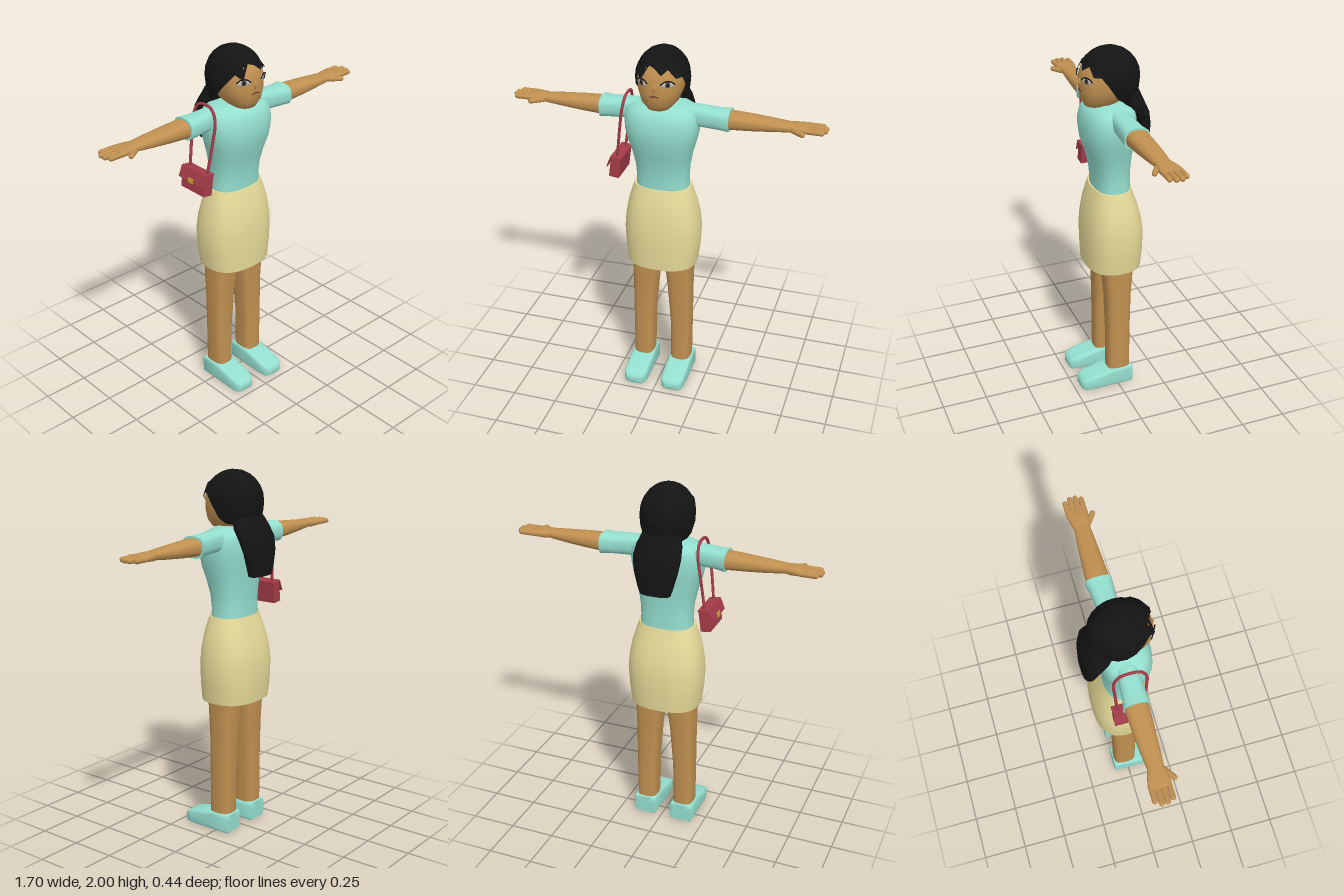
import * as THREE from 'three';
import { toCreasedNormals } from 'three/addons/utils/BufferGeometryUtils.js';

const mat = (color, extra = {}) => new THREE.MeshStandardMaterial({ color, ...extra });
const SKIN = mat(0xc09050), SHIRT = mat(0x94dfcf), SKIRT = mat(0xe6da98, { side: THREE.DoubleSide });
const HAIR = mat(0x141414, { flatShading: true, side: THREE.DoubleSide });
const RED = mat(0xa53c4a), GOLD = mat(0xc8a22c), WHITE = mat(0xe8e8e8), DARK = mat(0x1c1510), IRIS = mat(0x55504a);

function add(parent, name, geometry, material, pos = [0, 0, 0], rot = [0, 0, 0]) {
  const m = new THREE.Mesh(geometry, material);
  m.name = name;
  m.position.set(...pos);
  m.rotation.set(...rot);
  parent.add(m);
  return m;
}

// Loft of superellipse rings; section = [p, uMin, uMax, vMin, vMax], p rising.
// axis y: u = x, v = z;  axis x: u = z, v = y;  axis z: u = y, v = x
function loft(sections, { axis = 'y', n = 2, seg = 28, caps = true, crease = 0.8 } = {}) {
  const pos = [], idx = [];
  const put = (u, p, v) => pos.push(...(axis === 'y' ? [u, p, v] : axis === 'x' ? [p, v, u] : [v, u, p]));
  const pw = (c) => Math.sign(c) * Math.abs(c) ** (2 / n);
  for (const [p, u0, u1, v0, v1] of sections)
    for (let j = 0; j < seg; j++) {
      const a = (j / seg) * Math.PI * 2;
      put((u0 + u1) / 2 + ((u1 - u0) / 2) * pw(Math.cos(a)), p, (v0 + v1) / 2 + ((v1 - v0) / 2) * pw(Math.sin(a)));
    }
  const last = sections.length - 1;
  for (let i = 0; i < last; i++)
    for (let j = 0; j < seg; j++) {
      const a = i * seg + j, c = i * seg + ((j + 1) % seg);
      idx.push(a, a + seg, c, c, a + seg, c + seg);
    }
  if (caps)
    for (const i of [0, last]) {
      const [p, u0, u1, v0, v1] = sections[i], centre = pos.length / 3;
      put((u0 + u1) / 2, p, (v0 + v1) / 2);
      for (let j = 0; j < seg; j++) {
        const a = i * seg + j, b = i * seg + ((j + 1) % seg);
        idx.push(centre, ...(i ? [b, a] : [a, b]));
      }
    }
  const g = new THREE.BufferGeometry();
  g.setAttribute('position', new THREE.Float32BufferAttribute(pos, 3));
  g.setIndex(idx);
  return toCreasedNormals(g, crease);
}
// Section that is symmetric in x
const sym = (y, w, z0, z1) => [y, -w, w, z0, z1];

// Hair cap whose lower edge rises over the face into a jagged fringe
function hairCap() {
  const left = [1.93, 1.9, 1.925, 1.88, 1.88, 1.82, 1.755, 1.73, 1.725, 1.72, 1.72, 1.72, 1.72];
  const right = [1.93, 1.94, 1.865, 1.895, 1.85, 1.8, 1.75, 1.73, 1.725, 1.72, 1.72, 1.72, 1.72];
  const seg = 24, rows = 8, pos = [], idx = [];
  for (let i = 0; i <= rows; i++)
    for (let j = 0; j < seg; j++) {
      const a = (j / seg) * Math.PI * 2, edge = j <= 12 ? left[j] : right[seg - j];
      const y = 2 - (2 - edge) * (i / rows) ** 1.8, h = (y - 1.84) / 0.16;
      let r = h > 0 ? Math.sqrt(Math.max(0, 1 - h * h)) : 1 - 0.25 * h * h;
      if (i === rows && edge > 1.86) r *= 1.07;
      pos.push(0.142 * r * Math.sin(a), y, -0.005 + 0.165 * r * Math.cos(a));
    }
  for (let i = 0; i < rows; i++)
    for (let j = 0; j < seg; j++) {
      const a = i * seg + j, b = i * seg + ((j + 1) % seg);
      idx.push(a, a + seg, b, b, a + seg, b + seg);
    }
  const g = new THREE.BufferGeometry();
  g.setAttribute('position', new THREE.Float32BufferAttribute(pos, 3));
  g.setIndex(idx);
  g.computeVertexNormals();
  return g;
}

function buildHead() {
  const head = new THREE.Group();
  head.name = 'head';
  add(head, 'face', loft([
    sym(1.685, 0.03, 0.02, 0.1), sym(1.698, 0.06, -0.03, 0.128), sym(1.735, 0.095, -0.08, 0.147), sym(1.79, 0.114, -0.12, 0.155),
    sym(1.86, 0.12, -0.13, 0.152), sym(1.92, 0.103, -0.12, 0.13), sym(1.96, 0.06, -0.07, 0.08),
  ], { n: 2.4, crease: 1.2 }), SKIN);
  add(head, 'neck', new THREE.CylinderGeometry(0.052, 0.056, 0.12, 20), SKIN, [0, 1.71, -0.005]);
  add(head, 'hair', hairCap(), HAIR);
  add(head, 'ponytail', loft([
    sym(1.455, 0.085, -0.215, -0.14), sym(1.5, 0.1, -0.217, -0.138), sym(1.58, 0.122, -0.215, -0.13), sym(1.65, 0.132, -0.205, -0.1),
    sym(1.7, 0.125, -0.185, -0.06), sym(1.75, 0.105, -0.165, -0.03), sym(1.8, 0.07, -0.14, -0.03),
  ], { n: 2.5, seg: 14 }), HAIR);
  // Eyes, brow lids, nose and mouth
  for (const s of [-1, 1]) {
    const eye = new THREE.Group();
    eye.name = 'eye';
    eye.position.set(s * 0.066, 1.853, 0.137);
    eye.rotation.y = s * 0.5;
    const ball = new THREE.SphereGeometry(1, 18, 12);
    add(eye, 'eyeWhite', ball, WHITE).scale.set(0.034, 0.018, 0.007);
    add(eye, 'iris', ball, IRIS, [0, 0, 0.004]).scale.set(0.015, 0.016, 0.005);
    add(eye, 'pupil', ball, DARK, [0, 0, 0.007]).scale.set(0.008, 0.009, 0.003);
    const lid = new THREE.QuadraticBezierCurve3(
      new THREE.Vector3(-0.037, -0.001, 0.002), new THREE.Vector3(0, 0.037, 0.007), new THREE.Vector3(0.037, -0.001, 0.002));
    add(eye, 'eyelid', new THREE.TubeGeometry(lid, 12, 0.0035, 6), DARK);
    head.add(eye);
  }
  add(head, 'nose', new THREE.SphereGeometry(1, 14, 10), SKIN, [0, 1.828, 0.153]).scale.set(0.01, 0.02, 0.01);
  const lips = new THREE.QuadraticBezierCurve3(
    new THREE.Vector3(-0.022, 1.781, 0.152), new THREE.Vector3(0, 1.793, 0.156), new THREE.Vector3(0.022, 1.781, 0.152));
  add(head, 'mouth', new THREE.TubeGeometry(lips, 10, 0.003, 6), mat(0x5a2a1c));
  return head;
}

function buildArm() {
  const arm = new THREE.Group();
  arm.name = 'arm';
  add(arm, 'sleeve', loft([
    [0.1, -0.07, 0.05, 1.585, 1.7], [0.2, -0.066, 0.044, 1.587, 1.697], [0.3, -0.075, 0.05, 1.583, 1.69], [0.348, -0.085, 0.053, 1.578, 1.692],
  ], { axis: 'x', n: 2.8 }), SHIRT);
  add(arm, 'forearm', loft([
    [0.33, -0.078, 0.045, 1.588, 1.683], [0.45, -0.073, 0.04, 1.595, 1.677], [0.57, -0.066, 0.033, 1.606, 1.668], [0.67, -0.056, 0.026, 1.617, 1.66],
  ], { axis: 'x', n: 2.5 }), SKIN);
  add(arm, 'palm', loft([
    [0.65, -0.054, 0.024, 1.618, 1.659], [0.69, -0.066, 0.032, 1.616, 1.66], [0.74, -0.077, 0.038, 1.622, 1.657], [0.768, -0.074, 0.035, 1.627, 1.652],
  ], { axis: 'x', n: 3 }), SKIN);
  // Fingers and thumb
  [[-0.064, 0.832], [-0.035, 0.85], [-0.006, 0.85], [0.023, 0.836]].forEach(([z, tip]) => {
    const len = tip - 0.74 - 0.014;
    add(arm, 'finger', new THREE.CapsuleGeometry(0.014, len, 5, 10), SKIN, [0.74 + len / 2, 1.639, z], [0, 0, Math.PI / 2]);
  });
  add(arm, 'thumb', new THREE.CapsuleGeometry(0.014, 0.065, 5, 10), SKIN, [0.704, 1.634, 0.04], [0, -0.6, Math.PI / 2]);
  return arm;
}

function buildLeg() {
  const leg = new THREE.Group();
  leg.name = 'leg';
  add(leg, 'bareLeg', loft([
    [0.08, 0.054, 0.166, -0.08, 0.052], [0.35, 0.05, 0.168, -0.08, 0.052], [0.58, 0.032, 0.169, -0.086, 0.056], [0.76, 0.013, 0.171, -0.1, 0.07], [0.95, 0.008, 0.174, -0.1, 0.075],
  ], { n: 3.2 }), SKIN);
  add(leg, 'shoe', loft([
    [-0.086, 0.004, 0.106, 0.05, 0.172], [-0.08, 0, 0.111, 0.045, 0.177], [0.02, 0, 0.111, 0.044, 0.177], [0.09, 0, 0.096, 0.043, 0.178], [0.17, 0, 0.077, 0.045, 0.176],
    [0.2, 0.002, 0.068, 0.051, 0.17], [0.215, 0.006, 0.056, 0.063, 0.158], [0.22, 0.015, 0.042, 0.078, 0.143],
  ], { axis: 'z', n: 7, seg: 40 }), SHIRT);
  return leg;
}

function buildBag() {
  const bag = new THREE.Group();
  bag.name = 'handbag';
  const body = new THREE.Group();
  body.name = 'bagBody';
  body.position.set(-0.26, 1.312, -0.02);
  body.rotation.z = -0.13;
  add(body, 'pouch', new THREE.BoxGeometry(0.055, 0.115, 0.18), RED);
  // Front flap stands slightly away from the pouch
  add(body, 'flap', new THREE.BoxGeometry(0.006, 0.065, 0.19), RED, [-0.036, 0.03, 0], [0, 0, -0.25]);
  add(body, 'flapTop', new THREE.BoxGeometry(0.06, 0.006, 0.19), RED, [0, 0.06, 0]);
  add(body, 'clasp', new THREE.BoxGeometry(0.01, 0.026, 0.034), GOLD, [-0.044, 0.006, 0]);
  bag.add(body);
  const path = new THREE.CatmullRomCurve3([
    [-0.252, 1.36, 0.05], [-0.23, 1.53, 0.068], [-0.212, 1.66, 0.072], [-0.206, 1.715, 0.04], [-0.205, 1.726, -0.01],
    [-0.206, 1.715, -0.06], [-0.212, 1.66, -0.092], [-0.23, 1.53, -0.092], [-0.252, 1.36, -0.085],
  ].map((p) => new THREE.Vector3(...p)));
  add(bag, 'strap', new THREE.TubeGeometry(path, 50, 0.008, 8), RED);
  return bag;
}

export function createModel() {
  const model = new THREE.Group();
  model.name = 'woman';
  const body = new THREE.Group();
  body.name = 'body';
  body.position.x = -0.012;
  model.add(body);
  body.add(buildHead());
  // Shirt and skirt
  add(body, 'shirt', loft([
    sym(1.2, 0.146, -0.108, 0.088), sym(1.27, 0.142, -0.105, 0.088), sym(1.34, 0.146, -0.106, 0.096), sym(1.42, 0.161, -0.112, 0.116),
    sym(1.49, 0.181, -0.12, 0.138), sym(1.55, 0.195, -0.128, 0.145), sym(1.6, 0.2, -0.13, 0.143), sym(1.645, 0.195, -0.128, 0.132),
    sym(1.675, 0.18, -0.12, 0.115), sym(1.695, 0.145, -0.1, 0.085), sym(1.705, 0.085, -0.07, 0.062),
  ], { n: 2.5, seg: 36, crease: 1 }), SHIRT);
  add(body, 'skirt', loft([
    sym(0.755, 0.192, -0.166, 0.142), sym(0.85, 0.204, -0.173, 0.145), sym(0.96, 0.21, -0.175, 0.146), sym(1.04, 0.203, -0.165, 0.14),
    sym(1.12, 0.188, -0.145, 0.127), sym(1.19, 0.167, -0.12, 0.108), sym(1.225, 0.155, -0.11, 0.097),
  ], { n: 2.5, seg: 36, caps: false }), SKIRT);
  add(body, 'waist', loft([sym(1.19, 0.16, -0.114, 0.1), sym(1.224, 0.154, -0.109, 0.096)], { n: 2.5, seg: 36 }), SKIRT);
  // Mirrored limbs
  for (const s of [-1, 1]) {
    const arm = buildArm(), leg = buildLeg();
    arm.scale.x = leg.scale.x = s;
    arm.name = s > 0 ? 'leftArm' : 'rightArm';
    leg.name = s > 0 ? 'leftLeg' : 'rightLeg';
    model.add(arm);
    body.add(leg);
  }
  model.add(buildBag());
  return model;
}
